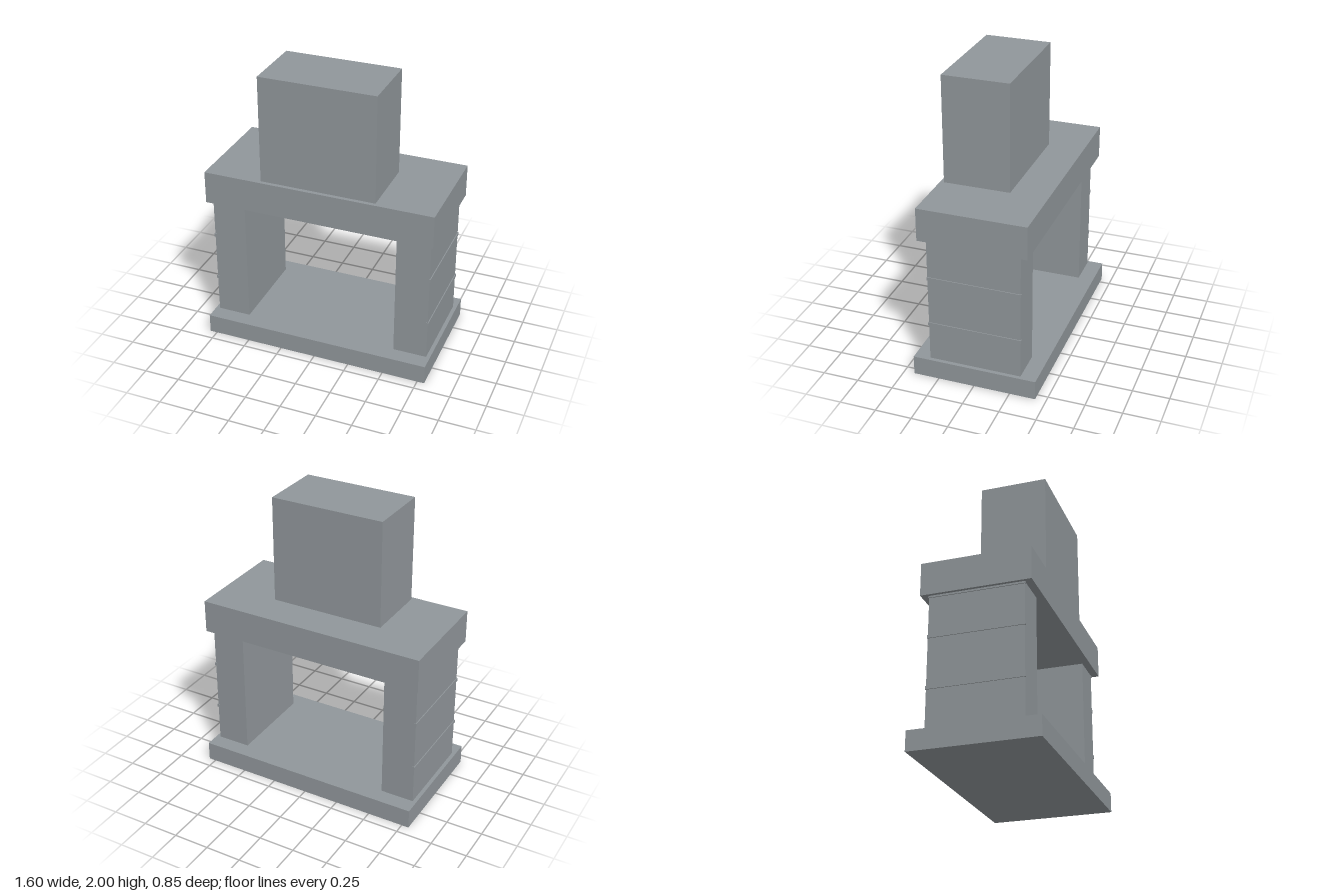
import * as THREE from 'three';

export function createModel() {
  const model = new THREE.Group();
  model.name = 'fireplace';
  const stone = new THREE.MeshStandardMaterial({ color: 0x90969a });
  stone.name = 'grey stone';

  // Box given by its low and high limits on each axis
  function block(name, [x0, x1], [y0, y1], [z0, z1]) {
    const mesh = new THREE.Mesh(new THREE.BoxGeometry(x1 - x0, y1 - y0, z1 - z0), stone);
    mesh.position.set((x0 + x1) / 2, (y0 + y1) / 2, (z0 + z1) / 2);
    mesh.name = name;
    model.add(mesh);
  }

  block('hearthBase', [-0.8, 0.8], [0, 0.135], [-0.427, 0.427]);
  block('mantelSlab', [-0.8, 0.8], [1.03, 1.258], [-0.369, 0.369]);
  block('chimneyBlock', [-0.4, 0.4], [1.258, 2], [-0.114, 0.342]);

  // Side pillars with thin horizontal ribs on their outer faces
  for (const side of [1, -1]) {
    const label = side > 0 ? 'left' : 'right';
    const span = [0.54 * side, 0.773 * side].sort((a, b) => a - b);
    block(label + 'Pillar', span, [0.135, 1.03], [-0.317, 0.317]);
    const rib = [0.762 * side, 0.779 * side].sort((a, b) => a - b);
    for (const y of [0.405, 0.748, 1.028]) {
      block(label + 'Rib', rib, [y - 0.011, y + 0.011], [-0.321, 0.321]);
    }
  }
  return model;
}
